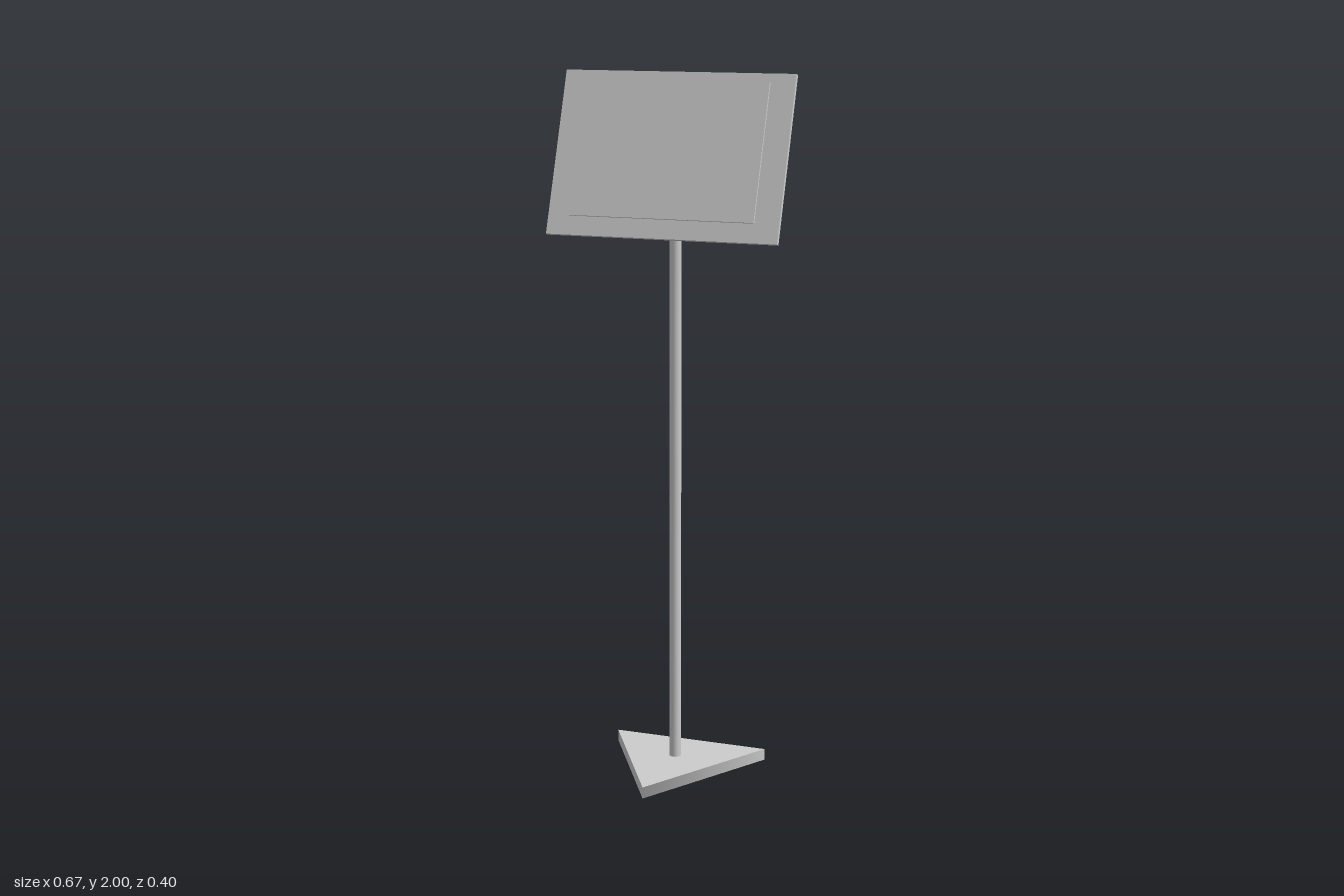
import * as THREE from 'three';

export function createModel() {
  const model = new THREE.Group();
  const grey = new THREE.MeshStandardMaterial({ color: 0xcccccc });
  grey.name = 'light grey';

  const add = (name, geometry, parent, x, y, z) => {
    const mesh = new THREE.Mesh(geometry, grey);
    mesh.name = name;
    mesh.position.set(x, y, z);
    parent.add(mesh);
    return mesh;
  };

  // Triangular foot with one corner pointing forward, and the pole at its centre
  const baseHeight = 0.033, poleTop = 1.634, poleZ = -0.067;
  add('base', new THREE.CylinderGeometry(0.267, 0.267, baseHeight, 3), model, 0, baseHeight / 2, poleZ);
  add('pole', new THREE.CylinderGeometry(0.0167, 0.0167, poleTop, 24), model, 0, poleTop / 2, poleZ);

  // Sign head leaning back 20 degrees: a backing board with a thin cover in front
  const signHead = new THREE.Group();
  signHead.name = 'signHead';
  signHead.position.set(0, 1.7785, -0.0235);
  signHead.rotation.x = -THREE.MathUtils.degToRad(20);
  model.add(signHead);
  add('backingBoard', new THREE.BoxGeometry(0.667, 0.467, 0.0133), signHead, 0, 0, 0);
  add('frontCover', new THREE.BoxGeometry(0.533, 0.387, 0.0067), signHead, 0, 0.0115, 0.0197);

  return model;
}
